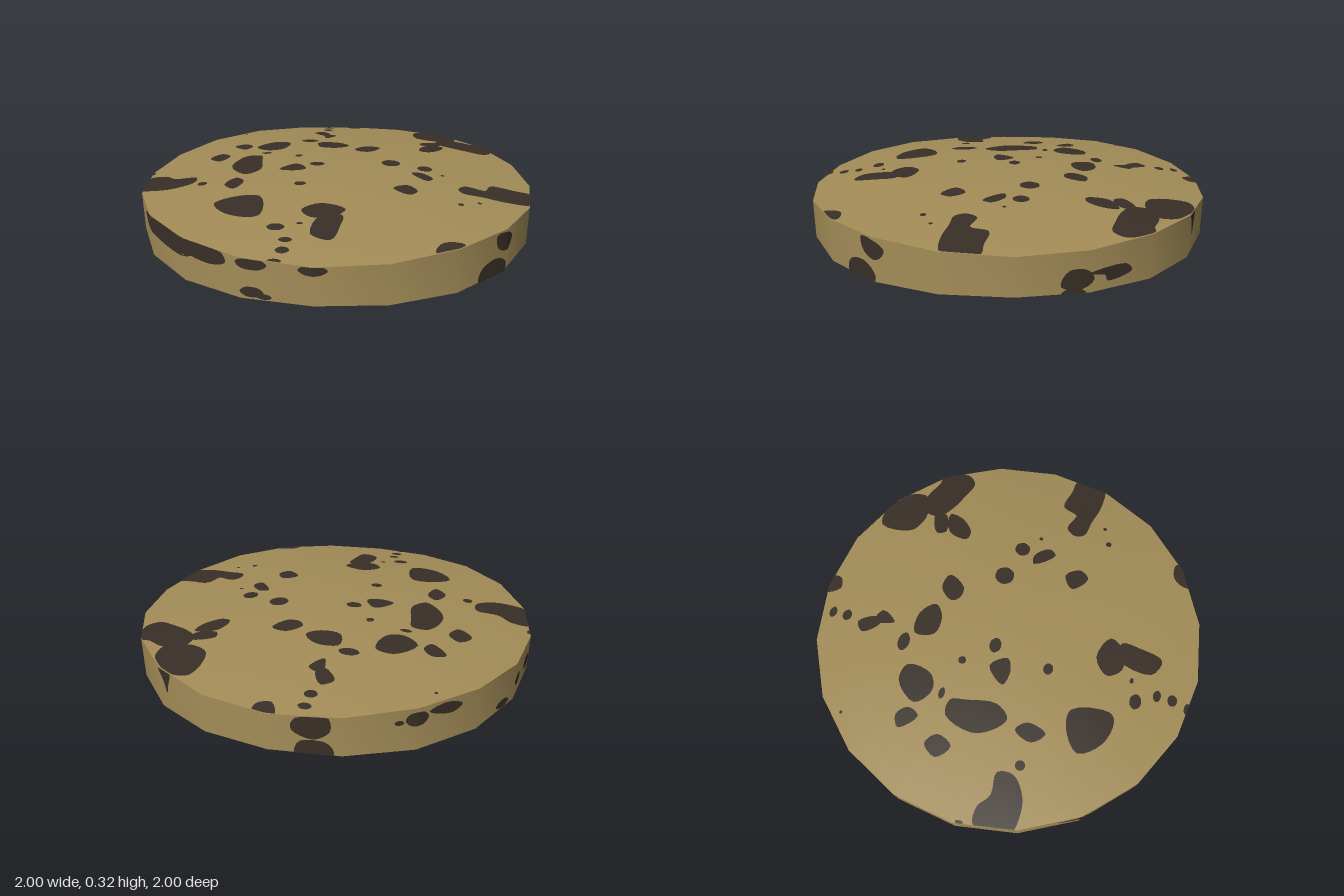
import * as THREE from 'three';
import { mergeGeometries } from 'three/addons/utils/BufferGeometryUtils.js';

const SIDES = 20, MID = 0.158, LIFT = 0.004;
const gold = new THREE.MeshStandardMaterial({ color: 0xa38c57 });
gold.name = 'old gold';
const dark = new THREE.MeshStandardMaterial({ color: 0x382f27 });
dark.name = 'dark tarnish';

// Radius of the twenty-sided outline at an angle
const step = (2 * Math.PI) / SIDES;
function outline(a) {
  const local = a - step * Math.floor(a / step) - step / 2;
  return Math.cos(step / 2) / Math.cos(local);
}

// Half thickness: domed, with a rim slightly taller on the diagonals
const halfHeight = (rho, a) => 0.156 - (0.068 - 0.016 * Math.sin(2 * a) ** 2) * rho * rho;

// Surface points on the domed face and on the rim wall
function facePoint(x, z, lift = 0) {
  const a = Math.atan2(z, x), edge = outline(a);
  const rho = Math.min(1, Math.hypot(x, z) / edge);
  return [Math.cos(a) * rho * edge, halfHeight(rho, a) + lift, Math.sin(a) * rho * edge];
}
function rimPoint(a, y, lift = 0) {
  const h = halfHeight(1, a), r = outline(a) + lift;
  return [Math.cos(a) * r, Math.max(-h, Math.min(h, y)), Math.sin(a) * r];
}

// Closed loops of points joined row by row
function loops(rows, cols, point) {
  const pos = [], index = [];
  for (let i = 0; i <= rows; i++) for (let j = 0; j < cols; j++) pos.push(...point(i / rows, j));
  for (let i = 0; i < rows; i++) for (let j = 0; j < cols; j++) {
    const a = i * cols + j, b = i * cols + ((j + 1) % cols);
    index.push(a, b, a + cols, b, b + cols, a + cols);
  }
  const g = new THREE.BufferGeometry();
  g.setAttribute('position', new THREE.Float32BufferAttribute(pos, 3));
  g.setIndex(index);
  g.computeVertexNormals();
  return g;
}

// A rounded blot laid on a surface; corners are [u, v] pairs
function blot(corners, surface) {
  const n = corners.length;
  const cu = corners.reduce((s, p) => s + p[0], 0) / n;
  const cv = corners.reduce((s, p) => s + p[1], 0) / n;
  const turn = (p) => Math.atan2(p[1] - cv, p[0] - cu);
  const sorted = [...corners].sort((p, q) => turn(p) - turn(q));
  const curve = new THREE.CatmullRomCurve3(
    sorted.map((p) => new THREE.Vector3(p[0], p[1], 0)), true, 'centripetal');
  const cols = 4 * n, edge = [];
  for (let j = 0; j < cols; j++) edge.push(curve.getPoint(j / cols));
  return loops(5, cols, (t, j) =>
    surface(cu + (edge[j].x - cu) * t, cv + (edge[j].y - cv) * t, LIFT));
}
const pairs = (list) => list.reduce((out, v, i) => (i % 2 ? out : [...out, [v, list[i + 1]]]), []);
const oval = ([u, v, ru, rv]) => [0, 1, 2, 3, 4, 5].map((k) =>
  [u + ru * Math.cos(k * Math.PI / 3), v + rv * Math.sin(k * Math.PI / 3)]);

// Large blots on a face, x and z in hundredths
const FACE_BLOTS = [
  [42, -84, 52, -85, 59, -80, 65, -73, 65, -65, 58, -62, 50, -62, 42, -67],
  [56, -64, 66, -65, 75, -61, 81, -60, 85, -47, 80, -42, 70, -45, 61, -49, 54, -55],
  [44, -53, 55, -57, 56, -51, 46, -48],
  [44, -36, 46, -46, 57, -49, 56, -42, 49, -35],
  [62, 20, 66, 15, 75, 18, 79, 10, 90, 12, 99, 14, 97, 29, 85, 30, 73, 27, 64, 25],
  [-99, 10, -90, 9, -83, 14, -72, 14, -71, 22, -80, 29, -90, 30, -97, 28],
  [-53, 49, -43, 41, -33, 41, -29, 60, -33, 63, -45, 60],
  [-57, -4, -52, -18, -44, -18, -42, -10, -40, 5, -46, 12, -54, 5],
];
const FACE_SPOTS = [
  [-50, -35, -41, -46, -32, -44, -34, -31, -42, -28],
  [-15, -46, -4, -47, 3, -40, -3, -35, -13, -36],
  [-11, 54, -3, 47, 9, 52, 4, 60, -6, 61],
  [-1, 58, 8, 58, 8, 68, 5, 80, -4, 76],
  [-73, -17, -68, -24, -62, -19, -66, -11],
  [-64, -39, -58, -42, -53, -37, -56, -31],
  [7, -33, 13, -40, 21, -38, 16, -29, 10, -29],
  [-30, 5, -22, -4, -16, 4, -22, 7],
  [-54, 26, -50, 17, -45, 22, -48, 32],
  [30, 26, 37, 21, 42, 28, 38, 33],
  [-21, -73, -16, -77, -11, -68, -14, -65],
  [-14, -69, -7, -66, -12, -58],
  [-4, -101, 6, -100, 6, -95, 0, -93],
  [49, 83, 53, 77, 61, 77, 59, 84, 50, 88],
  [39, 3, 44, 2, 50, 9, 47, 13],
];
// Small ovals: x, z, half width, half depth
const FACE_DOTS = [
  [-14, -92, 3, 2], [-14, -84, 3, 2.5], [-21, -50, 5, 3], [-23, -18, 2, 2], [-11, -4, 4, 3],
  [28, -10, 5, 5], [46, -5, 4, 4], [-66, 24, 2.5, 2.5], [-16, 25, 3, 2.5], [-20, 71, 4, 3],
  [-14, 81, 3, 2], [-14, 89, 3, 2.5], [-10, 67, 1.5, 1], [62, 39, 1.5, 1.5], [71, 35, 1, 1],
  [-42, -23, 3, 1.5], [55, 3, 1, 1], [-64, -69, 0.8, 0.8], [-99, 3, 1, 2], [-16, 97, 3, 1.5],
];
// Rim blots: angle in degrees, height in hundredths
const RIM_BLOTS = [
  [151, 23, 143, 27, 125, 27, 123, 19, 132, 16.5, 146, 19],
  [125, 26, 114, 26, 112, 21, 117, 18, 125, 20],
  [40, 25, 36, 25, 32.5, 21, 35, 16, 39, 18],
  [46, 5, 45, 12, 40, 14, 36, 11, 36, 5],
  [-11, 10, -13, 17, -17, 17, -19, 12, -15, 8],
  [-17, 15, -22, 13, -28, 16, -30, 12, -23, 10],
  [-54, 27, -59, 27, -58, 20, -57, 15, -56, 20],
  [263, 24, 256, 26, 255, 18, 259, 14, 264, 18],
  [263, 5, 262, 13, 256, 13, 254, 7, 257, 5],
  [231, 23, 226, 25, 221, 22, 224, 19],
];
const RIM_DOTS = [
  [105, 23, 4, 2.8], [90, 23, 3.5, 2.3], [105, 10, 3, 2.5], [102, 8.5, 2, 1.3], [-14, 7, 3, 2],
  [234, 21, 3, 3.5], [238.5, 20, 1.2, 1.2], [204, 9, 3, 2.2], [196, 16, 2.5, 3], [185, 15, 3, 3.5],
];

export function createModel() {
  const group = new THREE.Group();
  group.name = 'disc';
  const add = (parent, name, geometry, material) => {
    const mesh = new THREE.Mesh(geometry, material);
    mesh.name = name;
    parent.add(mesh);
  };

  // Rim wall
  const rim = new THREE.Group();
  rim.name = 'rim';
  rim.position.y = MID;
  add(rim, 'rimWall', loops(1, SIDES, (t, j) =>
    rimPoint(j * step, (1 - 2 * t) * halfHeight(1, j * step))), gold);
  const onRim = (deg, y, lift) => rimPoint(deg * Math.PI / 180, y / 100 - MID, lift);
  const rimShapes = [...RIM_BLOTS.map(pairs), ...RIM_DOTS.map(oval)];
  add(rim, 'rimBlots', mergeGeometries(rimShapes.map((s) => blot(s, onRim))), dark);
  group.add(rim);

  // Domed face with its blots, used for the top and turned over for the underside
  const dome = loops(10, SIDES, (t, j) => {
    const r = t * 0.99999;
    return facePoint(Math.cos(j * step) * r, Math.sin(j * step) * r);
  });
  const onFace = (x, z, lift) => facePoint(x / 100, z / 100, lift);
  const faceShapes = [...FACE_BLOTS.map(pairs), ...FACE_SPOTS.map(pairs), ...FACE_DOTS.map(oval)];
  const faceBlots = mergeGeometries(faceShapes.map((s) => blot(s, onFace)));
  for (const [name, turn] of [['topFace', 0], ['underside', Math.PI]]) {
    const face = new THREE.Group();
    face.name = name;
    face.position.y = MID;
    face.rotation.x = turn;
    add(face, name + 'Dome', dome, gold);
    add(face, name + 'Blots', faceBlots, dark);
    group.add(face);
  }
  return group;
}
